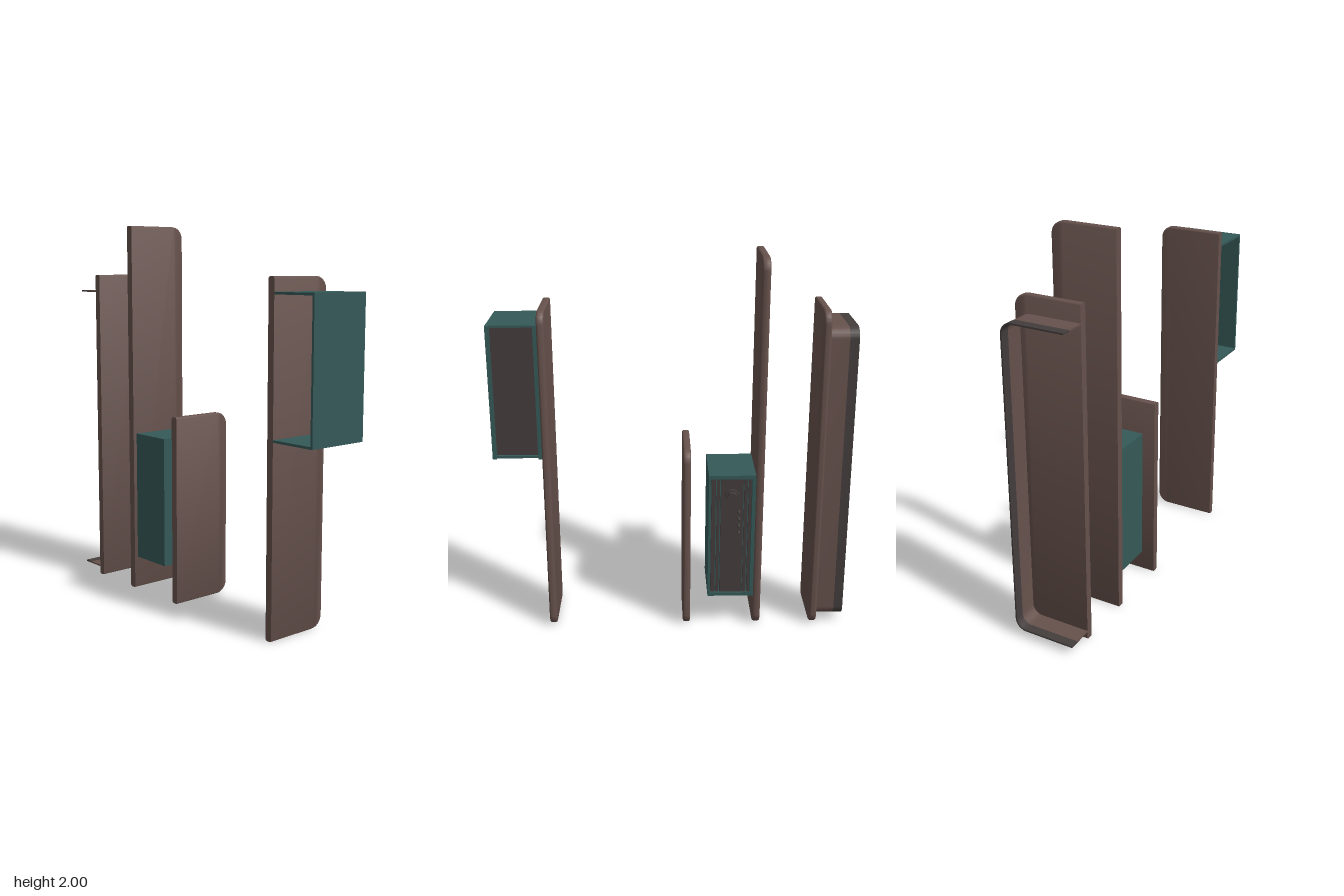
import * as THREE from 'three';
import { toCreasedNormals } from 'three/addons/utils/BufferGeometryUtils.js';

const paint = (name, color, side = THREE.FrontSide) => {
  const m = new THREE.MeshStandardMaterial({ color, side });
  m.name = name;
  return m;
};

export function createModel() {
  const model = new THREE.Group();
  model.name = 'explodedPanels';
  const brown = paint('brown', 0x66514c);
  const teal = paint('teal', 0x355957);
  const dark = paint('darkGrey', 0x433d3c);
  const LEFT = -0.18;

  const add = (parent, name, geometry, material) => {
    const mesh = new THREE.Mesh(geometry, material);
    mesh.name = name;
    parent.add(mesh);
    return mesh;
  };
  // box given by its minimum and maximum corners
  const block = (parent, name, material, x0, x1, y0, y1, z0, z1) => {
    const mesh = add(parent, name, new THREE.BoxGeometry(x1 - x0, y1 - y0, z1 - z0), material);
    mesh.position.set((x0 + x1) / 2, (y0 + y1) / 2, (z0 + z1) / 2);
    return mesh;
  };
  const group = (name) => {
    const g = new THREE.Group();
    g.name = name;
    model.add(g);
    return g;
  };

  // flat panel: rounded corners and soft edges, cut square on the -x side
  const panel = (name, height, z0, z1) => {
    const b = 0.01, x = 0.168 - b, y0 = 0.005 + b, y1 = height - b, r = 0.055;
    const s = new THREE.Shape();
    s.moveTo(-0.21, y0);
    s.lineTo(x - r, y0);
    s.absarc(x - r, y0 + r, r, -Math.PI / 2, 0, false);
    s.lineTo(x, y1 - r);
    s.absarc(x - r, y1 - r, r, 0, Math.PI / 2, false);
    s.lineTo(-0.21, y1);
    s.closePath();
    const g = new THREE.ExtrudeGeometry(s, {
      depth: z1 - z0 - 2 * b, bevelEnabled: true, bevelSize: b, bevelThickness: b,
      bevelSegments: 4, curveSegments: 10,
    });
    const p = g.attributes.position;
    for (let i = 0; i < p.count; i++) p.setX(i, Math.max(p.getX(i), LEFT));
    g.translate(0, 0, z0 + b);
    add(model, name, toCreasedNormals(g, 0.6), brown);
  };
  panel('frontPanel', 1.74, 0.63, 0.668);
  panel('shortPanel', 1.01, -0.092, -0.053);
  panel('tallPanel', 2.0, -0.47, -0.43);
  panel('rearPanel', 1.74, -0.778, -0.74);

  // front cabinet: open on its -x side, with a recessed dark side
  const cabinet = group('frontCabinet');
  const t = 0.012;
  block(cabinet, 'cabinetTop', teal, LEFT, 0.14, 1.67 - t, 1.67, 0.668, 0.92);
  block(cabinet, 'cabinetBottom', teal, LEFT, 0.14, 0.975, 0.975 + t, 0.668, 0.92);
  block(cabinet, 'cabinetFront', teal, LEFT, 0.14, 0.975 + t, 1.67 - t, 0.92 - t, 0.92);
  block(cabinet, 'cabinetSide', dark, 0.11, 0.125, 0.975 + t, 1.67 - t, 0.668, 0.92 - t);
  for (const [z0, z1] of [[0.668, 0.688], [0.9, 0.92]])
    block(cabinet, 'cabinetRail', teal, 0.138, 0.157, 0.975, 1.67, z0, z1);

  // control cabinet: closed core inside a raised frame on the +x side
  const unit = group('controlCabinet');
  block(unit, 'unitBody', teal, -0.16, 0.13, 0.18, 0.878, -0.43, -0.185);
  for (const [z0, z1] of [[-0.43, -0.411], [-0.197, -0.185]])
    block(unit, 'unitSideFrame', teal, 0.13, 0.157, 0.18, 0.878, z0, z1);
  for (const [y0, y1] of [[0.18, 0.2], [0.858, 0.878]])
    block(unit, 'unitEndFrame', teal, 0.13, 0.157, y0, y1, -0.411, -0.197);
  block(unit, 'unitFace', dark, 0.13, 0.148, 0.2, 0.858, -0.366, -0.249);
  for (const [z0, z1] of [[-0.409, -0.394], [-0.388, -0.371], [-0.243, -0.228], [-0.222, -0.2]])
    block(unit, 'unitStrip', dark, 0.13, 0.148, 0.2, 0.858, z0, z1);

  // knob and buttons pointing towards +x
  const dial = (name, r, x0, x1, y, z, material) => {
    const m = add(unit, name, new THREE.CylinderGeometry(r * 0.92, r, x1 - x0, 28), material);
    m.rotation.z = -Math.PI / 2;
    m.position.set((x0 + x1) / 2, y, z);
  };
  dial('knobBase', 0.038, 0.146, 0.156, 0.763, -0.307, dark);
  dial('knob', 0.026, 0.156, 0.177, 0.763, -0.307, dark);
  for (const y of [0.675, 0.635, 0.595, 0.555]) {
    const button = add(unit, 'button', new THREE.SphereGeometry(0.009, 12, 8), dark);
    button.scale.x = 2.4;
    button.position.set(0.152, y, -0.344);
  }

  // rear shell: thin U-shaped wall, open at the back and on the -x side
  const shell = group('rearShell');
  const band = (name, material, z0, z1) => {
    const x = 0.147, y0 = 0.047, y1 = 1.652, r = 0.06, w = 0.008;
    const s = new THREE.Shape();
    s.moveTo(LEFT, y0);
    s.lineTo(x - r, y0);
    s.absarc(x - r, y0 + r, r, -Math.PI / 2, 0, false);
    s.lineTo(x, y1 - r);
    s.absarc(x - r, y1 - r, r, 0, Math.PI / 2, false);
    s.lineTo(LEFT, y1);
    s.lineTo(LEFT, y1 - w);
    s.lineTo(x - r, y1 - w);
    s.absarc(x - r, y1 - r, r - w, Math.PI / 2, 0, true);
    s.lineTo(x - w, y0 + r);
    s.absarc(x - r, y0 + r, r - w, 0, -Math.PI / 2, true);
    s.lineTo(LEFT, y0 + w);
    s.closePath();
    const g = new THREE.ExtrudeGeometry(s, { depth: z1 - z0, bevelEnabled: false, curveSegments: 10 });
    g.translate(0, 0, z0);
    add(shell, name, toCreasedNormals(g, 0.6), material);
  };
  band('shellWall', brown, -0.872, -0.776);
  band('shellRim', dark, -0.92, -0.872);

  return model;
}
